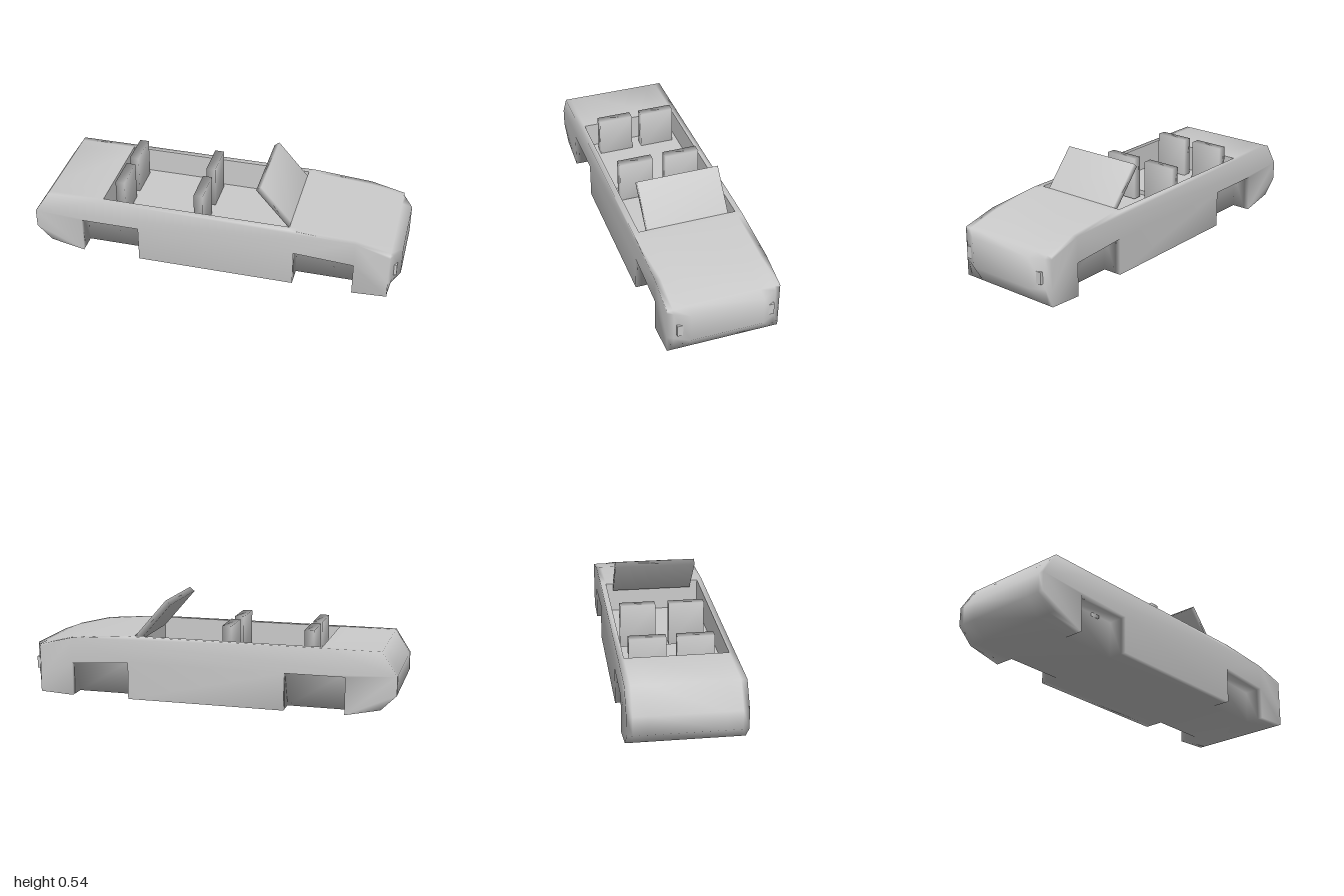
import * as THREE from 'three';
import { mergeVertices } from 'three/addons/utils/BufferGeometryUtils.js';

const HALF = 0.295;   // half width of the body
const OPEN = 0.265;   // half width of the cockpit opening
const WELL = 0.19;    // inner wall of the wheel wells
const NOSE = 0.945;   // where the front corners start to taper

const grey = () => new THREE.MeshStandardMaterial({ color: 0xcccccc });

// Pull the front corners back towards the sides
function taper(x, z) {
  const t = Math.max(0, (Math.abs(z) - WELL) / (HALF - WELL));
  return Math.min(x, 1 - t * (1 - NOSE));
}

// Collects strips running across the car and flat panels facing along z
class Skin {
  constructor() { this.pos = []; }
  vertex([x, y], z) { this.pos.push(taper(x, z), y, z); }
  strip(p, q, z0, z1) {
    for (const [v, z] of [[p, z0], [q, z0], [q, z1], [p, z0], [q, z1], [p, z1]]) this.vertex(v, z);
  }
  panel(points, z, dir) {
    const contour = points.map(([x, y]) => new THREE.Vector2(taper(x, z), y));
    for (const [a, b, c] of THREE.ShapeUtils.triangulateShape(contour, [])) {
      for (const i of dir > 0 ? [a, b, c] : [a, c, b]) this.vertex(points[i], z);
    }
  }
  geometry(smooth) {
    let g = new THREE.BufferGeometry();
    g.setAttribute('position', new THREE.Float32BufferAttribute(this.pos, 3));
    if (smooth) g = mergeVertices(g, 1e-4);
    g.computeVertexNormals();
    return g;
  }
}

const REAR_ARCH = [[-0.735, 0], [-0.735, 0.2], [-0.415, 0.2], [-0.415, 0]];
const FRONT_ARCH = [[0.44, 0], [0.44, 0.2], [0.76, 0.18], [0.76, 0]];
const COCKPIT_FRONT = [0.41, 0.345], COCKPIT_REAR = [-0.61, 0.345];

// Side outline, counter-clockwise, with or without the wheel arches
function outline(arches) {
  const arch = (a) => (arches ? a : [a[0], a[3]]);
  return [
    ...arch(REAR_ARCH), ...arch(FRONT_ARCH),
    [NOSE, 0.01], [1, 0.1], [1, 0.26], [NOSE, 0.275], [0.76, 0.32], [0.45, 0.345],
    COCKPIT_FRONT, COCKPIT_REAR,
    [-0.92, 0.345], [-1, 0.22], [-1, 0.12], [-0.92, 0.04],
  ];
}

function bodyGeometry() {
  const skin = new Skin();
  const rows = [-HALF, -OPEN, -WELL, WELL, OPEN, HALF];
  for (let i = 0; i < rows.length - 1; i++) {
    const mid = Math.abs(rows[i] + rows[i + 1]) / 2;
    const pts = outline(mid > WELL);
    pts.forEach((p, k) => {
      if (p === COCKPIT_FRONT && mid < OPEN) return; // leave the cockpit open
      skin.strip(p, pts[(k + 1) % pts.length], rows[i], rows[i + 1]);
    });
  }
  for (const s of [-1, 1]) {
    skin.panel(outline(true), s * HALF, s);
    skin.panel(REAR_ARCH, s * WELL, s);
    skin.panel(FRONT_ARCH, s * WELL, s);
  }
  return skin.geometry(true);
}

// Sunken tub with a small step between the front and rear floor
function cockpitGeometry() {
  const pts = [COCKPIT_FRONT, [0.41, 0.18], [-0.16, 0.18], [-0.16, 0.205], [-0.61, 0.205], COCKPIT_REAR];
  const skin = new Skin();
  for (let i = 0; i < pts.length - 1; i++) skin.strip(pts[i], pts[i + 1], -OPEN, OPEN);
  for (const s of [-1, 1]) skin.panel(pts, s * OPEN, -s);
  return skin.geometry(false);
}

// Box whose normals are shared at the corners
function softBox(w, h, d) {
  let g = new THREE.BoxGeometry(w, h, d);
  g.deleteAttribute('normal');
  g.deleteAttribute('uv');
  g = mergeVertices(g);
  g.computeVertexNormals();
  return g;
}

export function createModel() {
  const car = new THREE.Group();
  car.name = 'convertibleCar';
  const add = (name, geometry, x = 0, y = 0, z = 0) => {
    const mesh = new THREE.Mesh(geometry, grey());
    mesh.name = name;
    mesh.position.set(x, y, z);
    car.add(mesh);
    return mesh;
  };

  add('body', bodyGeometry());
  add('cockpit', cockpitGeometry());

  // Seat backs: two in front, two behind
  const seat = softBox(0.05, 0.235, 0.19);
  for (const [name, x, z] of [
    ['frontSeatA', -0.095, -0.14], ['frontSeatB', -0.095, 0.122],
    ['rearSeatA', -0.535, -0.14], ['rearSeatB', -0.535, 0.105],
  ]) add(name, seat, x, 0.303, z);

  // Raked windscreen slab
  const screen = add('windscreen', softBox(0.035, 0.27, 0.445), 0.32, 0.423, -0.003);
  screen.rotation.z = Math.atan2(0.155, 0.18);

  // Headlights set into the tapered front corners
  for (const s of [-1, 1]) {
    add(s > 0 ? 'headlightA' : 'headlightB', new THREE.BoxGeometry(0.04, 0.065, 0.06), 0.962, 0.162, s * 0.224);
  }
  return car;
}
